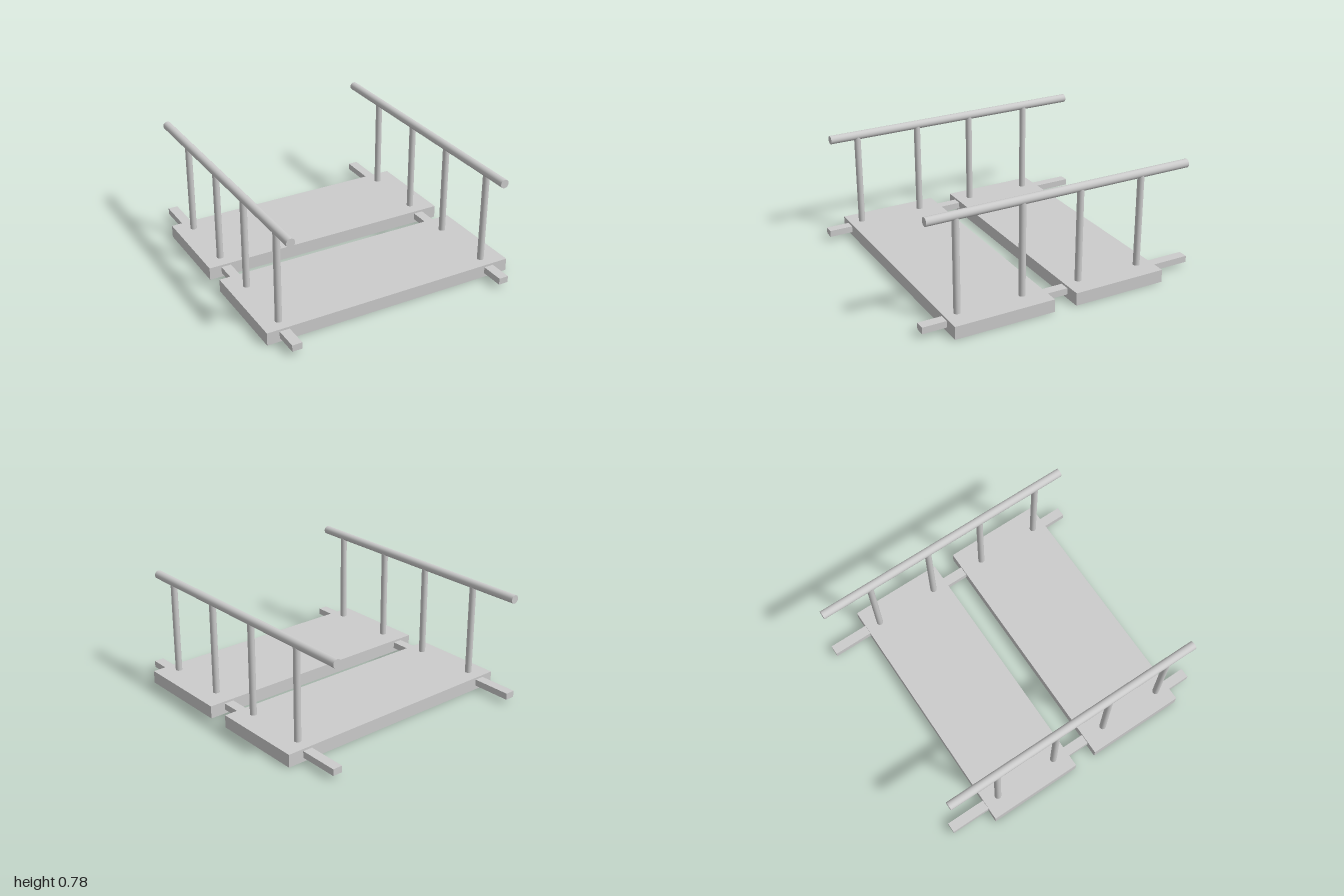
import * as THREE from 'three';

export function createModel() {
  const model = new THREE.Group();
  const material = new THREE.MeshStandardMaterial({ color: 0xcccccc });

  const add = (name, geometry, x, y, z) => {
    const mesh = new THREE.Mesh(geometry, material);
    mesh.name = name;
    mesh.position.set(x, y, z);
    model.add(mesh);
    return mesh;
  };

  // Two deck slabs with a gap between them
  const addDeck = (name, front, back) =>
    add(name, new THREE.BoxGeometry(1.824, 0.09, front - back), 0, 0.045, (front + back) / 2);
  addDeck('frontDeck', 0.832, 0.122);
  addDeck('backDeck', -0.04, -0.714);

  // Each side: a beam through the decks, four posts and a round handrail
  const sides = [
    { side: 'right', beamX: -0.79, postX: -0.787, railX: -0.793 },
    { side: 'left', beamX: 0.765, postX: 0.76, railX: 0.755 },
  ];
  const postZ = [0.741, 0.277, -0.146, -0.61];
  const postBottom = 0.08, postTop = 0.745;
  const railFront = 0.943, railBack = -0.98;

  const beam = new THREE.BoxGeometry(0.07, 0.046, 2);
  const post = new THREE.CylinderGeometry(0.023, 0.023, postTop - postBottom, 32);
  const rail = new THREE.CylinderGeometry(0.03, 0.03, railFront - railBack, 32);
  rail.rotateX(Math.PI / 2);

  for (const { side, beamX, postX, railX } of sides) {
    add(`${side}Beam`, beam, beamX, 0.052, 0);
    postZ.forEach((z, i) =>
      add(`${side}Post${i + 1}`, post, postX, (postBottom + postTop) / 2, z));
    add(`${side}Handrail`, rail, railX, 0.752, (railFront + railBack) / 2);
  }

  return model;
}
